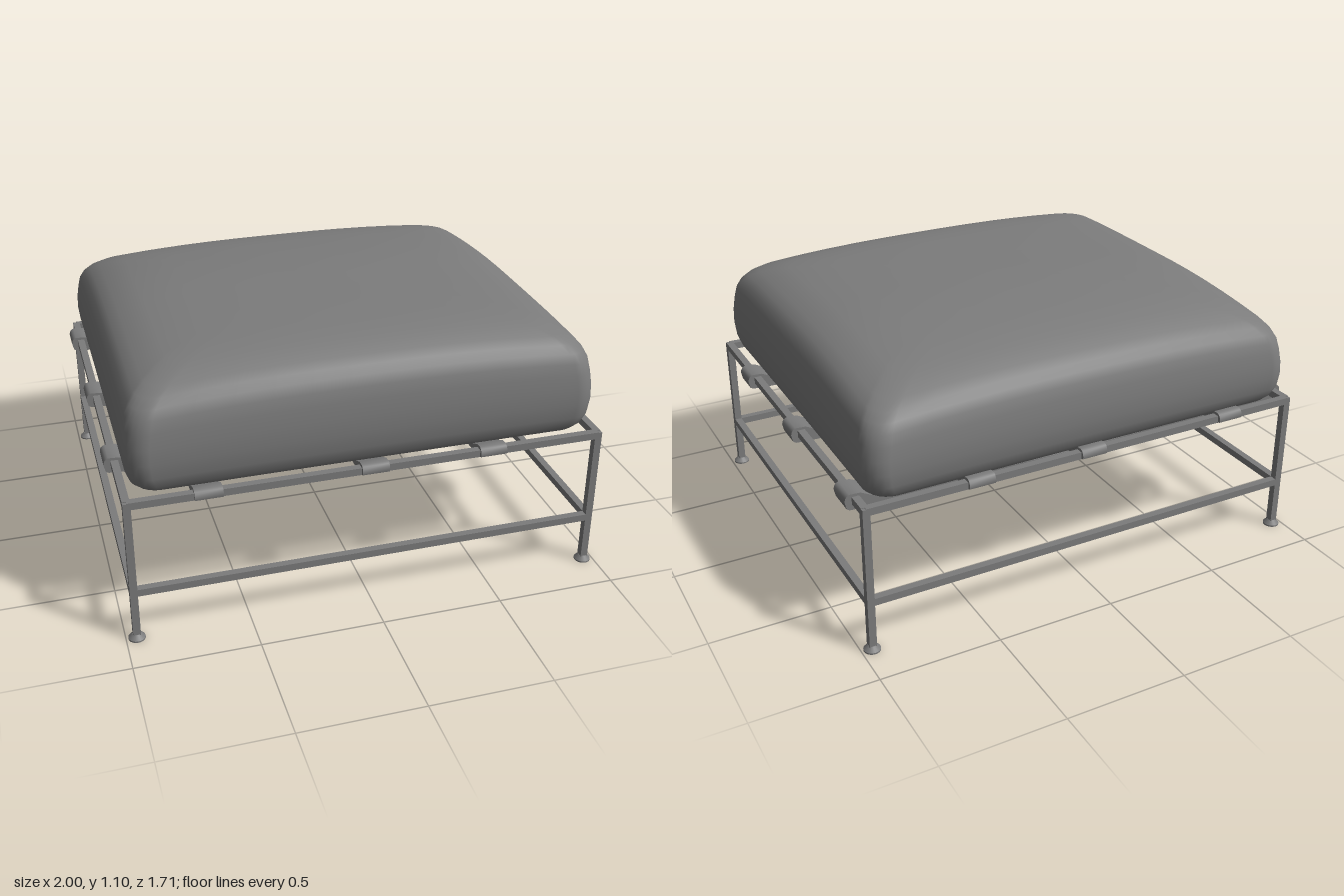
import * as THREE from 'three';
import { toCreasedNormals } from 'three/addons/utils/BufferGeometryUtils.js';

const material = new THREE.MeshStandardMaterial({ color: 0x7c7c7c, side: THREE.DoubleSide });
const LEG_X = 0.957, LEG_Z = 0.823, BAR = 0.03, RAIL_Y = 0.613;

function add(parent, name, geometry, x = 0, y = 0, z = 0) {
  const mesh = new THREE.Mesh(geometry, material);
  mesh.name = name;
  mesh.position.set(x, y, z);
  parent.add(mesh);
  return mesh;
}

// Outline of a rounded rectangle, corner arcs joined by subdivided straight edges
function roundedRect(a, b, r) {
  const corners = [[1, 1], [-1, 1], [-1, -1], [1, -1]];
  const arcs = corners.map(([sx, sz], c) => Array.from({ length: 7 }, (_, k) => {
    const angle = (c + k / 6) * Math.PI / 2;
    return new THREE.Vector2(sx * (a - r) + r * Math.cos(angle), sz * (b - r) + r * Math.sin(angle));
  }));
  return arcs.flatMap((arc, c) => {
    const from = arc[6], to = arcs[(c + 1) % 4][0];
    const edge = Array.from({ length: 10 }, (_, k) => from.clone().lerp(to, (k + 1) / 11));
    return [...arc, ...edge];
  });
}

// Puffy top surface: crowned across the width, sloping down to the back
function topHeight(x, z) {
  return 1.097 - 0.045 * Math.abs(x / 0.9) ** 2.6
    - 0.07 * (Math.max(0, -z) / 0.8) ** 2 - 0.02 * (Math.max(0, z) / 0.8) ** 4;
}

function cushionGeometry() {
  // [height fraction, inset from the side, scale toward the centre]
  const profile = [
    [-0.05, 0.13, 0], [-0.05, 0.13, 0.4], [-0.03, 0.13, 0.75], [0, 0.13, 1], [0.01, 0.07, 1],
    [0.04, 0.04, 1], [0.1, 0.02, 1], [0.2, 0.006, 1], [0.35, 0, 1], [0.5, 0.002, 1], [0.64, 0.01, 1],
    [0.75, 0.02, 1], [0.83, 0.038, 1], [0.89, 0.065, 1], [0.935, 0.105, 1], [0.968, 0.16, 1],
    [0.986, 0.21, 1], [0.996, 0.21, 0.88], [1, 0.21, 0.75], [1, 0.21, 0.5], [1, 0.21, 0.25], [1, 0.21, 0],
  ];
  const positions = [], indices = [];
  let n = 0;
  for (const [t, inset, scale] of profile) {
    const ring = roundedRect(0.947 - inset, 0.83 - inset, 0.09);
    n = ring.length;
    for (const p of ring) {
      const x = p.x * scale, z = p.y * scale - 0.01;
      positions.push(x, 0.612 + t * (topHeight(x, z) - 0.612), z);
    }
  }
  for (let i = 0; i < profile.length - 1; i++) {
    for (let j = 0; j < n; j++) {
      const k = (j + 1) % n, a = i * n + j, b = i * n + k;
      indices.push(a, a + n, b, b, a + n, b + n);
    }
  }
  const geometry = new THREE.BufferGeometry();
  geometry.setAttribute('position', new THREE.Float32BufferAttribute(positions, 3));
  geometry.setIndex(indices);
  geometry.computeVertexNormals();
  return geometry;
}

// Sagging webbing strap with a loop round the rail at each end; it runs along x
function strapGeometry(rail, end, low, loopLow, width) {
  const top = [
    [end, RAIL_Y], [end - 0.003, 0.626], [end - 0.01, 0.635], [end - 0.02, 0.64], [rail - 0.02, 0.638],
    [rail - 0.06, 0.618], [rail - 0.2, low + 0.032], [0, low + 0.018],
  ];
  const under = [
    [0, low], [rail - 0.4, low + 0.006], [rail - 0.15, loopLow - 0.003], [rail - 0.03, loopLow],
    [end - 0.018, loopLow + 0.003], [end - 0.007, loopLow + 0.01], [end - 0.002, RAIL_Y - 0.01],
  ];
  const mirror = ([x, y]) => [-x, y];
  const outline = [
    ...top, ...top.slice(0, -1).reverse().map(mirror),
    ...under.slice(1).reverse().map(mirror), ...under,
  ].map(([x, y]) => new THREE.Vector2(x, y));
  const geometry = new THREE.ExtrudeGeometry(new THREE.Shape(outline), { depth: width, bevelEnabled: false });
  return toCreasedNormals(geometry.translate(0, 0, -width / 2), 0.9);
}

export function createModel() {
  const model = new THREE.Group();
  model.name = 'ottoman';

  // Square tube frame with flared feet
  const frame = new THREE.Group();
  frame.name = 'frame';
  model.add(frame);
  for (const sx of [-1, 1]) {
    for (const sz of [-1, 1]) {
      add(frame, 'leg', new THREE.BoxGeometry(BAR, 0.61, BAR), sx * LEG_X, 0.32, sz * LEG_Z);
      add(frame, 'foot', new THREE.CylinderGeometry(0.017, 0.034, 0.018, 20), sx * LEG_X, 0.015, sz * LEG_Z);
      add(frame, 'footPad', new THREE.CylinderGeometry(0.034, 0.034, 0.006, 20), sx * LEG_X, 0.003, sz * LEG_Z);
    }
  }
  for (const [name, y] of [['topRail', RAIL_Y], ['stretcher', 0.22]]) {
    for (const s of [-1, 1]) {
      add(frame, name, new THREE.BoxGeometry(2 * LEG_X, BAR, BAR), 0, y, s * LEG_Z);
      add(frame, name, new THREE.BoxGeometry(BAR, BAR, 2 * LEG_Z), s * LEG_X, y, 0);
    }
  }

  // Webbing woven across the top frame
  const webbing = new THREE.Group();
  webbing.name = 'webbing';
  model.add(webbing);
  const crossStrap = strapGeometry(LEG_X, 1.0, 0.562, 0.572, 0.11);
  const longStrap = strapGeometry(LEG_Z, 0.852, 0.582, 0.592, 0.11);
  for (const z of [-0.68, -0.1, 0.46]) add(webbing, 'crossStrap', crossStrap, 0, 0, z);
  for (const x of [-0.65, 0.005, 0.495]) add(webbing, 'longStrap', longStrap, x).rotation.y = Math.PI / 2;

  add(model, 'cushion', cushionGeometry());
  return model;
}
